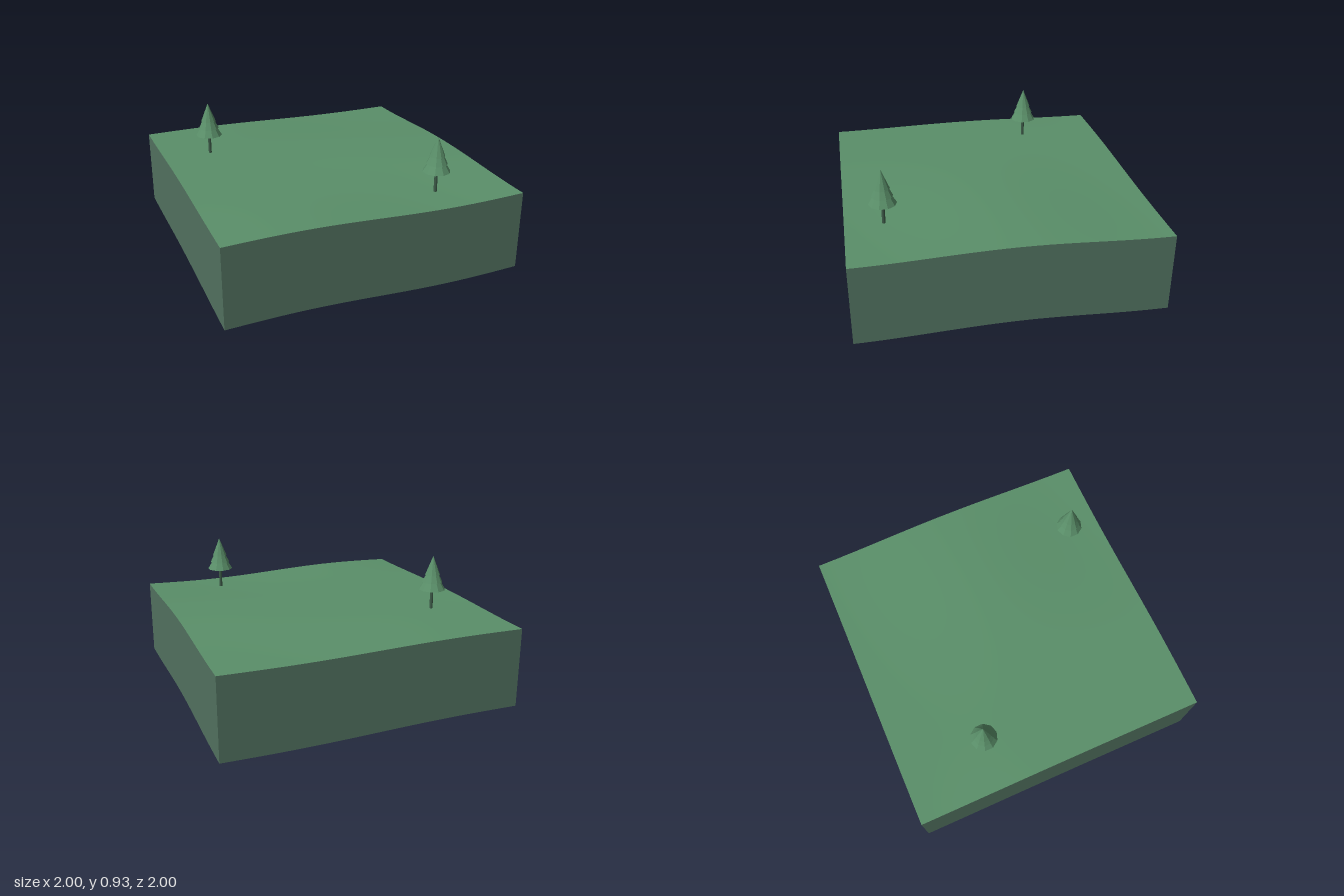
import * as THREE from 'three';

const DEPTH = 0.533;
const SEGMENTS = 32;

// Height of the lower rim; the grass lies DEPTH above it
function rim(x, z) {
  const wave = Math.sin(Math.PI * x);
  const front = 0.023 - 0.007 * x - 0.014 * wave;
  const back = 0.018 - 0.008 * x - 0.007 * wave;
  const middle = 0.044 + 0.004 * wave;
  const t = (1 - Math.cos(Math.PI * z)) / 2;
  return THREE.MathUtils.lerp(middle, z > 0 ? front : back, t);
}

function named(name, geometry, material) {
  const mesh = new THREE.Mesh(geometry, material);
  mesh.name = name;
  return mesh;
}

// Gently rolling top surface
function groundGeometry() {
  const geo = new THREE.PlaneGeometry(2, 2, SEGMENTS, SEGMENTS).rotateX(-Math.PI / 2);
  const p = geo.attributes.position;
  for (let i = 0; i < p.count; i++) p.setY(i, rim(p.getX(i), p.getZ(i)) + DEPTH);
  geo.computeVertexNormals();
  return geo;
}

// One side wall whose upper and lower edges both follow the ground
function wallGeometry(angle) {
  const geo = new THREE.PlaneGeometry(2, 1, SEGMENTS, 1).translate(0, 0.5, 1).rotateY(angle);
  const p = geo.attributes.position;
  for (let i = 0; i < p.count; i++) {
    p.setY(i, rim(p.getX(i), p.getZ(i)) + (p.getY(i) > 0.5 ? DEPTH : 0));
  }
  geo.computeVertexNormals();
  return geo;
}

// Trunk with three stacked cones, placed by the height of its tip
function makeTree(x, tip, z, bark, needles) {
  const tree = new THREE.Group();
  tree.name = 'tree';
  const trunk = named('trunk', new THREE.CylinderGeometry(0.011, 0.011, 0.17, 8), bark);
  trunk.position.y = -0.295;
  tree.add(trunk);
  const tiers = [[0.09, 0.15, -0.231], [0.069, 0.14, -0.179], [0.051, 0.129, -0.129]];
  for (const [radius, height, base] of tiers) {
    const cone = named('foliage', new THREE.ConeGeometry(radius, height, 10), needles);
    cone.position.y = base + height / 2;
    tree.add(cone);
  }
  tree.position.set(x, tip, z);
  return tree;
}

export function createModel() {
  const grass = new THREE.MeshStandardMaterial({ color: 0x5a8f69, side: THREE.DoubleSide });
  grass.name = 'grass green';
  const earth = new THREE.MeshStandardMaterial({ color: 0x527260, side: THREE.DoubleSide });
  earth.name = 'dull green';
  const bark = new THREE.MeshStandardMaterial({ color: 0x3d5a48 });
  bark.name = 'dark green';
  const needles = new THREE.MeshStandardMaterial({ color: 0x5a8f69, flatShading: true });
  needles.name = 'needle green';

  const model = new THREE.Group();
  model.name = 'terrainTile';
  model.add(named('ground', groundGeometry(), grass));
  ['frontWall', 'leftWall', 'backWall', 'rightWall'].forEach((name, i) => {
    model.add(named(name, wallGeometry(i * Math.PI / 2), earth));
  });
  model.add(makeTree(-0.67, 0.936, -0.42, bark, needles));
  model.add(makeTree(0.5, 0.916, 0.75, bark, needles));
  return model;
}
